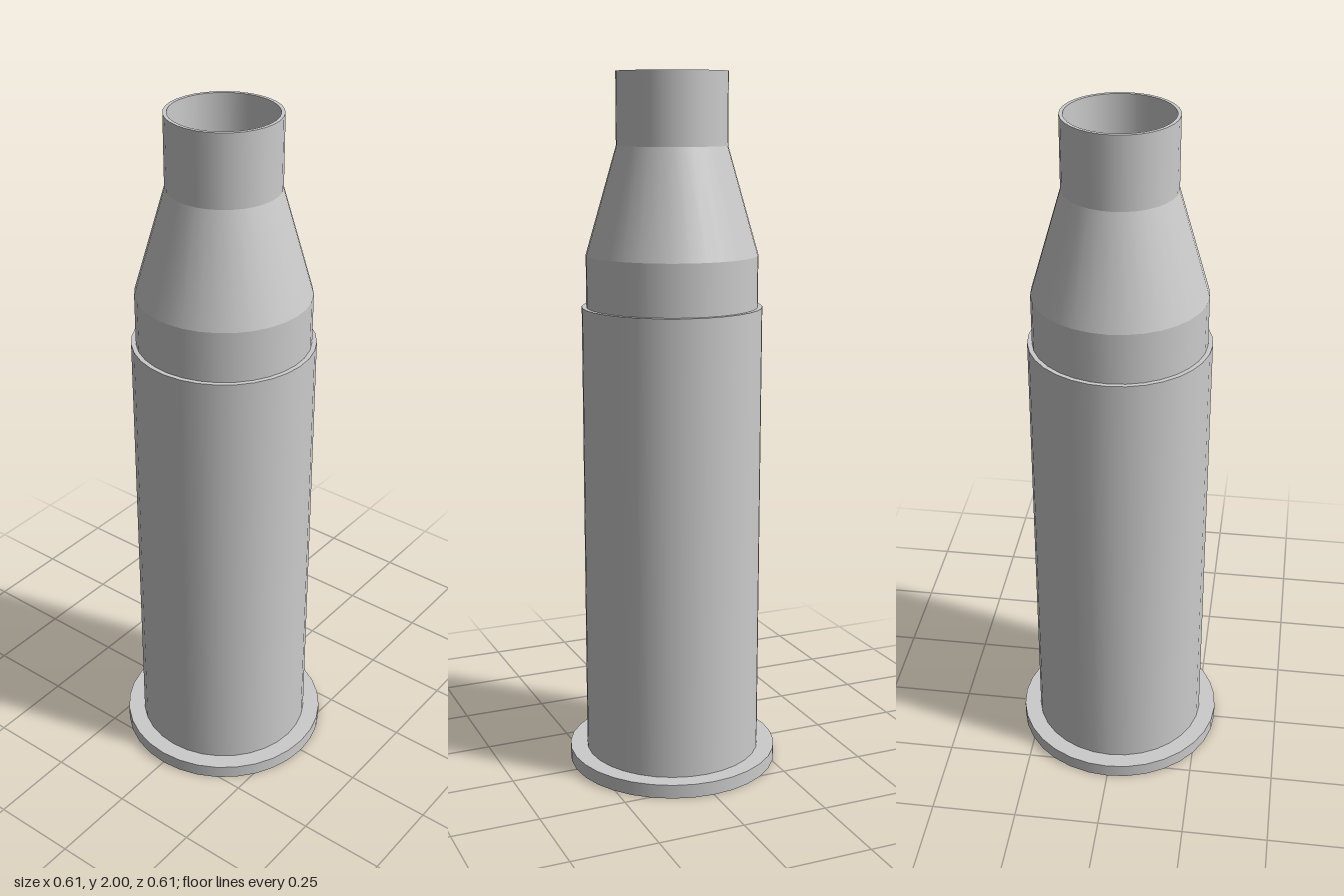
import * as THREE from 'three';
import { mergeGeometries } from 'three/addons/utils/BufferGeometryUtils.js';

const SIDES = 32;

// Revolves a profile, one band per segment, so the bands meet at sharp edges.
function turned(profile) {
  const bands = [];
  for (let i = 0; i < profile.length - 1; i++) {
    const pair = [profile[i], profile[i + 1]].map(([r, y]) => new THREE.Vector2(r, y));
    bands.push(new THREE.LatheGeometry(pair, SIDES));
  }
  return mergeGeometries(bands);
}

export function createModel() {
  const model = new THREE.Group();
  model.name = 'cartridgeCase';
  const metal = new THREE.MeshStandardMaterial({ color: 0xcccccc });

  const add = (name, profile) => {
    const mesh = new THREE.Mesh(turned(profile), metal);
    mesh.name = name;
    model.add(mesh);
  };

  // Flat base disc with its projecting rim
  add('baseRim', [[0, 0], [0.305, 0], [0.305, 0.04], [0.255, 0.04]]);

  // Straight body, ending in a narrow ledge
  add('body', [[0.255, 0.04], [0.255, 1.355], [0.242, 1.355]]);

  // Tapered shoulder, neck and mouth lip
  add('shoulderAndNeck', [
    [0.242, 1.355], [0.242, 1.5], [0.155, 1.8], [0.155, 2], [0.145, 2],
  ]);

  // Hollow inside, running from the mouth down to the floor
  add('innerWall', [
    [0.145, 2], [0.145, 1.8], [0.232, 1.5], [0.232, 0.05], [0, 0.05],
  ]);

  return model;
}
